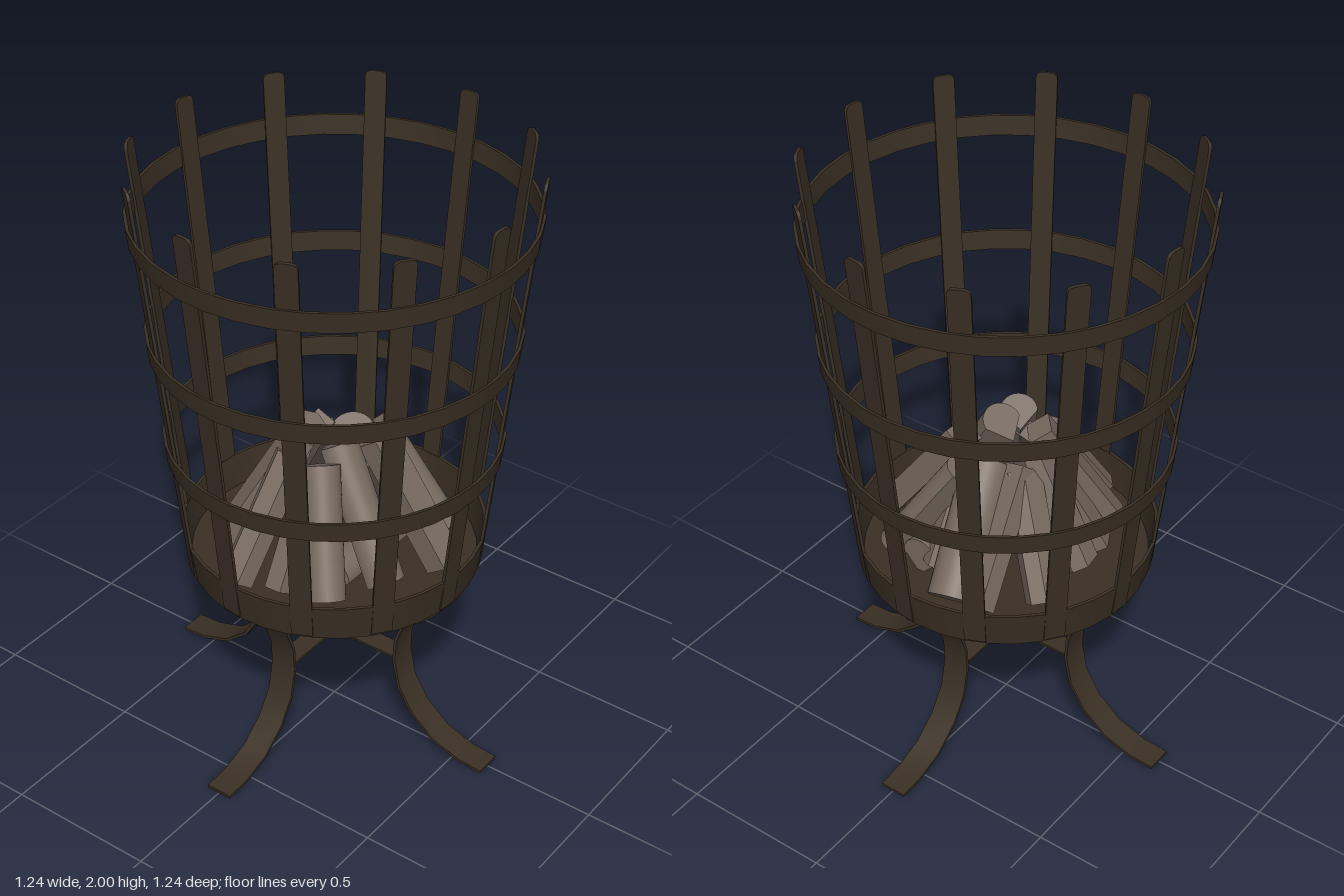
import * as THREE from 'three';
import { toCreasedNormals } from 'three/addons/utils/BufferGeometryUtils.js';

const iron = new THREE.MeshStandardMaterial({ color: 0x3a3024 });
iron.name = 'dark iron';
const wood = new THREE.MeshStandardMaterial({ color: 0x776a5f });
wood.name = 'weathered wood';

const V2 = (x, y) => new THREE.Vector2(x, y);
const V3 = (a) => new THREE.Vector3(...a);

function part(parent, name, geometry, material) {
  const mesh = new THREE.Mesh(toCreasedNormals(geometry, 0.5), material);
  mesh.name = name;
  parent.add(mesh);
  return mesh;
}

const lathe = (pts) => new THREE.LatheGeometry(pts.map(([x, y]) => V2(x, y)), 36);
const extrude = (shape, depth) =>
  new THREE.ExtrudeGeometry(shape, { depth, bevelEnabled: false, curveSegments: 8 });

// Radius of the basket's outward-leaning wall at a height
const BASE = 0.62, LEAN = 0.15 / 1.38;
const wallRadius = (y) => 0.468 + (y - BASE) * LEAN;

// Flat bar with rounded top corners
function barGeometry() {
  const w = 0.034, h = 1.38 / Math.cos(Math.atan(LEAN)), r = 0.022;
  const s = new THREE.Shape();
  s.moveTo(-w, 0);
  s.lineTo(w, 0);
  s.lineTo(w, h - r);
  s.quadraticCurveTo(w, h, w - r, h);
  s.lineTo(-w + r, h);
  s.quadraticCurveTo(-w, h, -w, h - r);
  s.closePath();
  return extrude(s, 0.01).translate(0, 0, -0.005);
}

// Bent flat strip, thickened along its path
function legGeometry() {
  const path = [[0.465, 0.615], [0.37, 0.56], [0.31, 0.48], [0.276, 0.385], [0.271, 0.3],
    [0.292, 0.2], [0.345, 0.115], [0.43, 0.045], [0.53, 0.012], [0.618, 0.006]].map(([x, y]) => V2(x, y));
  const t = 0.005;
  const side = (sign) => path.map((p, i) => {
    const d = path[Math.min(i + 1, path.length - 1)].clone().sub(path[Math.max(i - 1, 0)]).normalize();
    return V2(p.x - d.y * t * sign, p.y + d.x * t * sign);
  });
  return extrude(new THREE.Shape([...side(1), ...side(-1).reverse()]), 0.09).translate(0, 0, -0.045);
}

// Split-log cross-sections, about one unit wide, bark side towards +y
function logSection(kind) {
  if (kind === 'box') return new THREE.Shape([V2(-0.5, -0.4), V2(0.45, -0.45), V2(0.5, 0.35), V2(-0.42, 0.42)]);
  if (kind === 'ridge') return new THREE.Shape([V2(-0.5, -0.4), V2(0.5, -0.45), V2(0.48, 0.2), V2(-0.1, 0.48), V2(-0.5, 0.25)]);
  const s = new THREE.Shape();
  s.moveTo(0, -0.55);
  s.lineTo(0.5, 0);
  s.absarc(0, 0, 0.5, 0, Math.PI, false);
  s.closePath();
  return s;
}

// Log running from its upper end a to its lower end b
function addLog(parent, a, b, width, kind, roll = 0) {
  const from = V3(a), axis = V3(b).sub(from);
  const length = axis.length();
  axis.normalize();
  const sideways = new THREE.Vector3(0, 1, 0).cross(axis).normalize();
  const outward = axis.clone().cross(sideways);
  const geo = extrude(logSection(kind), length);
  geo.scale(width, width, 1).rotateZ(roll);
  geo.applyMatrix4(new THREE.Matrix4().makeBasis(sideways, outward, axis).setPosition(from));
  part(parent, 'log', geo, wood);
}

export function createModel() {
  const model = new THREE.Group();
  model.name = 'fire basket';

  // Shallow tray with a floor
  part(model, 'tray', lathe([[0, 0.61], [0.468, 0.61], [0.487, 0.735], [0.476, 0.735], [0.459, 0.625], [0, 0.625]]), iron);

  // Upright bars
  const bars = new THREE.Group();
  bars.name = 'bars';
  model.add(bars);
  const barGeo = barGeometry();
  for (let i = 0; i < 12; i++) {
    const pivot = new THREE.Group();
    pivot.name = 'bar mount';
    pivot.rotation.y = THREE.MathUtils.degToRad(-5.5 + i * 30);
    bars.add(pivot);
    const bar = part(pivot, 'bar', barGeo, iron);
    bar.position.set(0, BASE, wallRadius(BASE));
    bar.rotation.x = Math.atan(LEAN);
  }

  // Hoops around the bars
  for (const y of [1.053, 1.425, 1.817]) {
    const lo = y - 0.033, hi = y + 0.033;
    const a = wallRadius(lo) + 0.005, b = wallRadius(hi) + 0.005;
    part(model, 'hoop', lathe([[a + 0.01, lo], [b + 0.01, hi], [b, hi], [a, lo], [a + 0.01, lo]]), iron);
  }

  // Curved legs and crossed braces
  const legGeo = legGeometry();
  for (let i = 0; i < 4; i++) part(model, 'leg', legGeo, iron).rotation.y = i * Math.PI / 2;
  part(model, 'braceAcross', new THREE.BoxGeometry(0.54, 0.008, 0.07), iron).position.y = 0.313;
  part(model, 'braceAlong', new THREE.BoxGeometry(0.07, 0.008, 0.54), iron).position.y = 0.304;

  // Stacked firewood: upper end, lower end, width, section, roll
  const logs = new THREE.Group();
  logs.name = 'firewood';
  model.add(logs);
  [
    [[0.08, 1.0, 0.01], [0.39, 0.7, -0.08], 0.16, 'round', 0.3],
    [[0.06, 1.02, -0.1], [0.38, 0.7, -0.17], 0.08, 'box', 0.5],
    [[0.05, 1.0, -0.1], [0.2, 0.67, -0.3], 0.11, 'ridge', 0],
    [[0, 1.05, -0.1], [-0.02, 0.67, -0.28], 0.11, 'ridge', 0.4],
    [[-0.05, 1.0, -0.1], [-0.13, 0.67, -0.27], 0.1, 'box', 0],
    [[-0.08, 1.07, -0.07], [-0.25, 0.68, -0.25], 0.1, 'box', 0.1],
    [[-0.15, 1.03, -0.06], [-0.39, 0.67, -0.1], 0.09, 'ridge', 0.2],
    [[-0.14, 0.99, 0.02], [-0.35, 0.67, 0.04], 0.07, 'box', 0.3],
    [[-0.15, 1.04, 0.06], [-0.31, 0.68, 0.2], 0.12, 'round', 0],
    [[-0.05, 1.06, 0.05], [-0.13, 0.68, 0.29], 0.13, 'round', 0],
    [[0.06, 1.05, 0.12], [0.06, 0.68, 0.39], 0.1, 'box', 0.15],
    [[0.18, 1.02, 0.04], [0.25, 0.67, 0.26], 0.1, 'round', 0.2],
    [[-0.2, 0.68, 0.14], [0.27, 0.68, 0.14], 0.13, 'round', 0],
    [[0.13, 0.92, 0.06], [0.26, 0.67, 0.07], 0.1, 'ridge', 0],
  ].forEach((log) => addLog(logs, ...log));

  return model;
}
